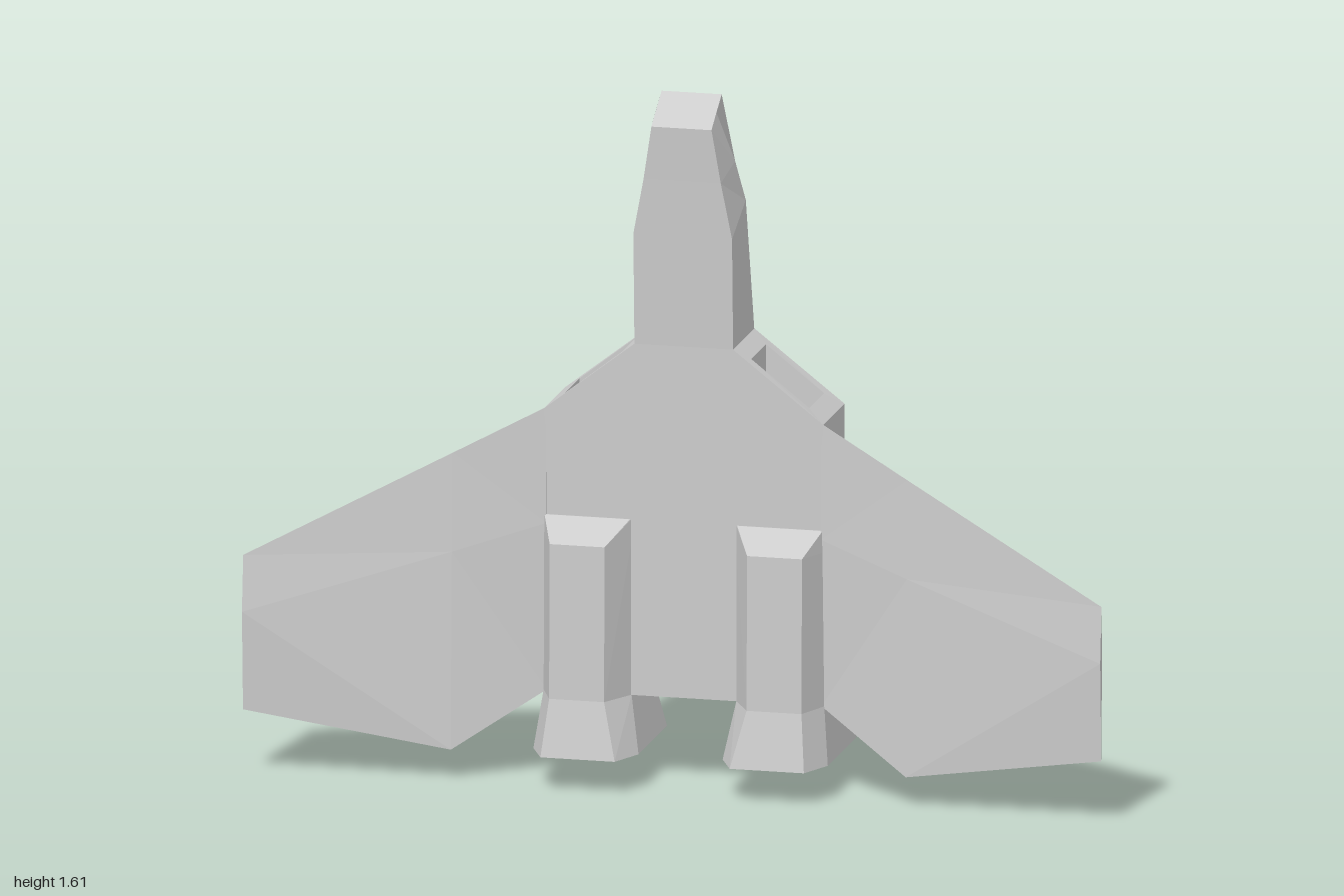
import * as THREE from 'three';

const material = new THREE.MeshStandardMaterial({ color: 0xcccccc, flatShading: true });

// Skin a run of equal-length rings and cap both ends; mirror flips it to the -x side.
function loft(name, rings, mirror = false) {
  const pos = [];
  const tri = (a, b, c) => {
    for (const p of mirror ? [a, c, b] : [a, b, c]) pos.push(mirror ? -p[0] : p[0], p[1], p[2]);
  };
  const n = rings[0].length;
  for (let r = 0; r < rings.length - 1; r++) {
    const a = rings[r], b = rings[r + 1];
    for (let i = 0; i < n; i++) {
      const j = (i + 1) % n;
      tri(a[i], b[i], b[j]);
      tri(a[i], b[j], a[j]);
    }
  }
  const first = rings[0], last = rings[rings.length - 1];
  for (let i = 1; i < n - 1; i++) {
    tri(first[0], first[i], first[i + 1]);
    tri(last[0], last[i + 1], last[i]);
  }
  const geometry = new THREE.BufferGeometry();
  geometry.setAttribute('position', new THREE.Float32BufferAttribute(pos, 3));
  geometry.computeVertexNormals();
  const mesh = new THREE.Mesh(geometry, material);
  mesh.name = name;
  return mesh;
}

// Six-sided hull ring from belly, shoulder and spine corners, each [halfWidth, y, z]
const hullRing = (belly, shoulder, spine) => {
  const flip = ([x, y, z]) => [-x, y, z];
  return [flip(belly), belly, shoulder, spine, flip(spine), flip(shoulder)];
};

// Eight-sided engine ring: sides x0..x1 over z0..z1, narrower faces i0..i1 at back and front
const engineRing = (y, x0, x1, z0, z1, i0, i1, back, front) => [
  [i0, y, front], [i1, y, front], [x1, y, z1], [x1, y, z0],
  [i1, y, back], [i0, y, back], [x0, y, z0], [x0, y, z1],
];

// Four-cornered ring on the sloping intake face
const intakeRing = (x0, y0, x1, y1, zBack, zFront) => [
  [x0, y0, zFront], [x1, y1, zFront], [x1, y1, zBack], [x0, y0, zBack],
];

export function createModel() {
  const model = new THREE.Group();
  model.name = 'spacecraft';

  // Hull, nose down to tail
  model.add(loft('fuselage', [
    hullRing([0.07, 1.545, 0.182], [0.07, 1.575, 0.135], [0.07, 1.605, 0.085]),
    hullRing([0.09, 1.42, 0.175], [0.1, 1.45, 0.08], [0.07, 1.42, -0.04]),
    hullRing([0.115, 1.29, 0.17], [0.115, 1.35, 0.04], [0.07, 1.21, -0.13]),
    hullRing([0.115, 1.03, 0.16], [0.115, 1.03, -0.04], [0.07, 1.03, -0.21]),
    hullRing([0.115, 0.57, 0.16], [0.115, 0.57, -0.03], [0.07, 0.57, -0.11]),
    hullRing([0.115, 0.21, 0.16], [0.115, 0.21, 0], [0.07, 0.21, -0.035]),
  ]));

  for (const mirror of [false, true]) {
    const side = new THREE.Group();
    side.name = mirror ? 'rightSide' : 'leftSide';
    model.add(side);

    // Intake housing with a recessed mouth in its sloping top
    side.add(loft('intake', [
      intakeRing(0.15, 0.92, 0.285, 0.815, -0.01, 0.13),
      intakeRing(0.15, 1.003, 0.285, 0.897, -0.01, 0.13),
      intakeRing(0.115, 1.03, 0.325, 0.867, -0.042, 0.16),
      intakeRing(0.115, 0.21, 0.325, 0.21, -0.042, 0.16),
    ], mirror));

    // Engine with bevelled top, flared nozzle and hollow exhaust
    side.add(loft('engine', [
      engineRing(0.62, 0.122, 0.327, -0.04, 0.158, 0.125, 0.324, -0.044, 0.162),
      engineRing(0.57, 0.122, 0.327, -0.04, 0.158, 0.166, 0.294, -0.11, 0.235),
      engineRing(0.21, 0.122, 0.327, -0.04, 0.158, 0.166, 0.294, -0.11, 0.24),
      engineRing(0.08, 0.098, 0.343, -0.08, 0.19, 0.134, 0.307, -0.155, 0.27),
      engineRing(0.08, 0.11, 0.331, -0.073, 0.183, 0.142, 0.299, -0.142, 0.257),
      engineRing(0.2, 0.135, 0.314, -0.035, 0.15, 0.17, 0.29, -0.095, 0.22),
    ], mirror));

    // Wing sections: trailing edge, belly crease, leading edge, upper crease
    side.add(loft('wing', [
      [[0.32, 0.21, 0.157], [0.32, 0.6, 0.164], [0.32, 0.87, 0.159], [0.32, 0.6, 0.125]],
      [[0.53, 0.07, 0.212], [0.53, 0.53, 0.203], [0.53, 0.759, 0.195], [0.53, 0.53, 0.172]],
      [[1, 0.15, 0.27], [1, 0.38, 0.28], [1, 0.51, 0.268], [1, 0.38, 0.262]],
    ], mirror));

    // Thin canted fin
    const finSection = (x, low, high, z) => [
      [x + 0.003, low, z + 0.004], [x + 0.003, high, z + 0.004],
      [x - 0.003, high, z - 0.004], [x - 0.003, low, z - 0.004],
    ];
    side.add(loft('fin', [
      finSection(0.28, 0.255, 0.54, -0.064),
      finSection(0.643, 0, 0.18, -0.274),
    ], mirror));
  }
  return model;
}
